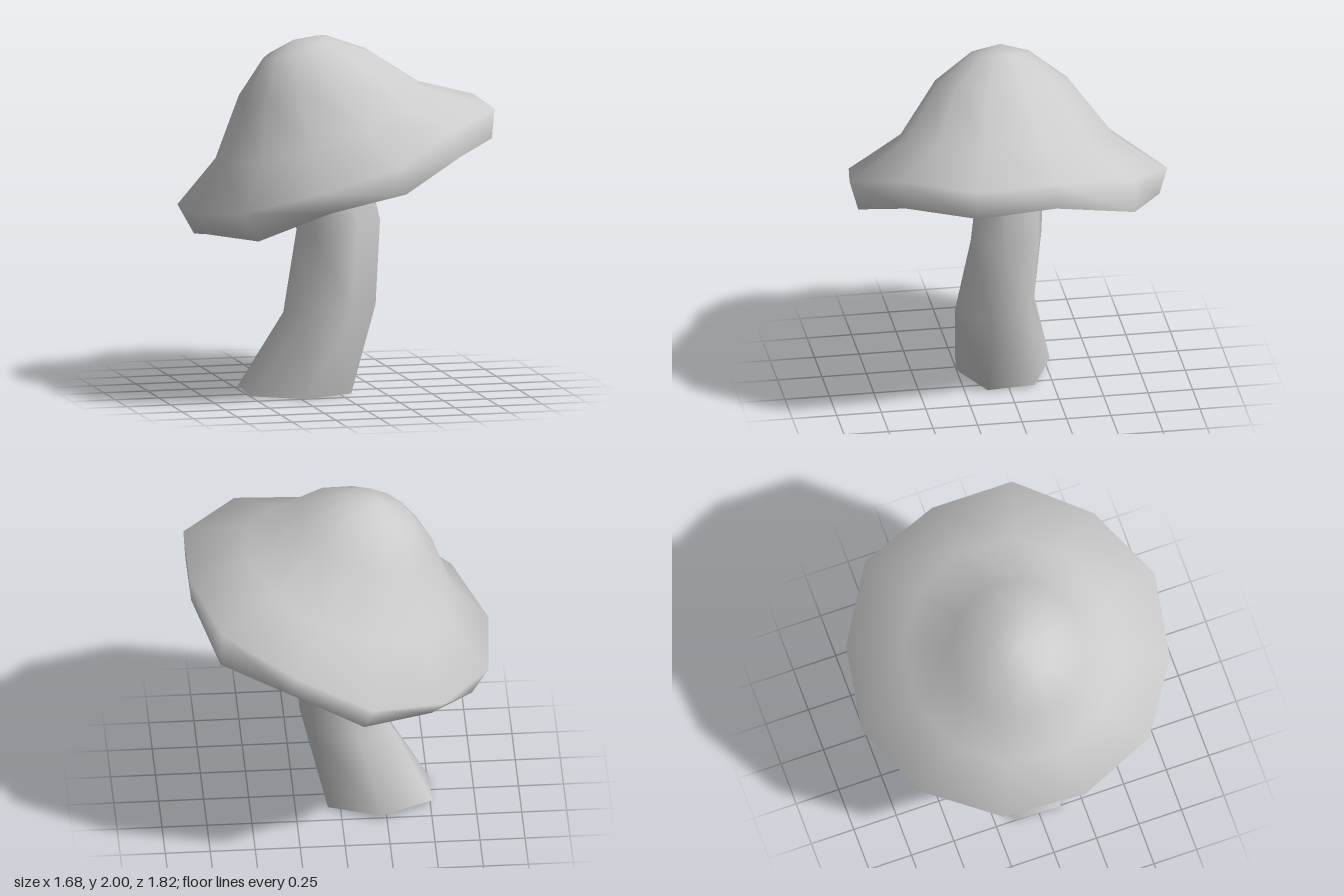
import * as THREE from 'three';

const material = new THREE.MeshStandardMaterial({ color: 0xcccccc });
material.name = 'light grey';

// Tilted elliptical ring: slopes lift it along x and z
function ring(n, phase, [cx, cy, cz], rx, rz, slopeX, slopeZ) {
  return Array.from({ length: n }, (_, j) => {
    const a = THREE.MathUtils.degToRad(phase + (j * 360) / n);
    const dx = rx * Math.cos(a), dz = rz * Math.sin(a);
    return [cx + dx, cy + slopeX * dx + slopeZ * dz, cz + dz];
  });
}

// Skin a list of rings; a ring of one point closes the end
function loft(name, rings, flat = false) {
  const starts = [];
  let count = 0;
  for (const r of rings) { starts.push(count); count += r.length; }
  const n = Math.max(...rings.map(r => r.length));
  const index = [];
  for (let i = 0; i + 1 < rings.length; i++) {
    const at = (k, j) => starts[k] + (j % rings[k].length);
    for (let j = 0; j < n; j++) {
      const a = at(i, j), b = at(i, j + 1), c = at(i + 1, j), d = at(i + 1, j + 1);
      if (c !== d) index.push(a, c, d);
      if (a !== b) index.push(a, d, b);
    }
  }
  let geometry = new THREE.BufferGeometry();
  geometry.setAttribute('position', new THREE.Float32BufferAttribute(rings.flat(2), 3));
  geometry.setIndex(index);
  if (flat) geometry = geometry.toNonIndexed();
  geometry.computeVertexNormals();
  const mesh = new THREE.Mesh(geometry, material);
  mesh.name = name;
  return mesh;
}

export function createModel() {
  const group = new THREE.Group();
  group.name = 'mushroom';

  // Uneven rim: widest ring and the lower edge of its band
  const rim = [
    [0.84, 1.61, -0.15], [0.84, 1.6, 0.32], [0.53, 1.55, 0.69], [0.14, 1.38, 0.91],
    [-0.31, 1.24, 0.84], [-0.67, 1.11, 0.59], [-0.845, 1.05, 0.15], [-0.81, 1.03, -0.32],
    [-0.54, 1.08, -0.7], [-0.13, 1.2, -0.91], [0.3, 1.4, -0.85], [0.69, 1.54, -0.6],
  ];
  const edge = [
    [0.83, 1.46, -0.14], [0.83, 1.43, 0.3], [0.55, 1.39, 0.66], [0.19, 1.23, 0.87],
    [-0.23, 1.13, 0.81], [-0.58, 0.95, 0.57], [-0.76, 0.93, 0.13], [-0.72, 0.865, -0.3],
    [-0.47, 0.98, -0.64], [-0.08, 1.06, -0.86], [0.33, 1.26, -0.8], [0.7, 1.34, -0.6],
  ];
  const capRing = (centre, rx, rz) => ring(12, -10, centre, rx, rz, 0.35, 0.04);

  // Cap top
  group.add(loft('capTop', [
    edge, rim,
    capRing([-0.065, 1.5, -0.01], 0.59, 0.6),
    capRing([-0.165, 1.785, 0], 0.365, 0.38),
    capRing([-0.22, 1.935, 0], 0.18, 0.165),
    [[-0.23, 1.98, 0]],
  ]));

  // Cap underside: lip and faceted hollow that follows the cap
  const lip = edge.map(([x, y, z]) => [
    0.03 + (x - 0.05) * 0.87, 1.23 + (y - 1.17) * 0.87, z * 0.865,
  ]);
  group.add(loft('capHollow', [
    [[-0.17, 1.8, 0]],
    capRing([-0.12, 1.67, 0], 0.28, 0.29),
    capRing([-0.04, 1.42, 0], 0.47, 0.48),
    lip,
  ], true));
  group.add(loft('capLip', [lip, edge], true));

  // Bent, slightly twisted six-sided stem
  const base = ring(6, 30, [-0.22, 0.01, -0.01], 0.335, 0.265, -0.03, -0.08);
  for (const p of base) p[1] = Math.max(0, p[1]);
  group.add(loft('stem', [
    base,
    ring(6, 15, [-0.04, 0.475, 0.065], 0.257, 0.243, 0.09, 0),
    ring(6, 15, [0.025, 0.93, 0.01], 0.233, 0.217, 0.13, 0),
    ring(6, 15, [-0.06, 1.6, -0.045], 0.17, 0.175, 0.2, 0),
  ]));
  group.add(loft('stemBase', [[[-0.22, 0.01, -0.01]], base], true));

  return group;
}
